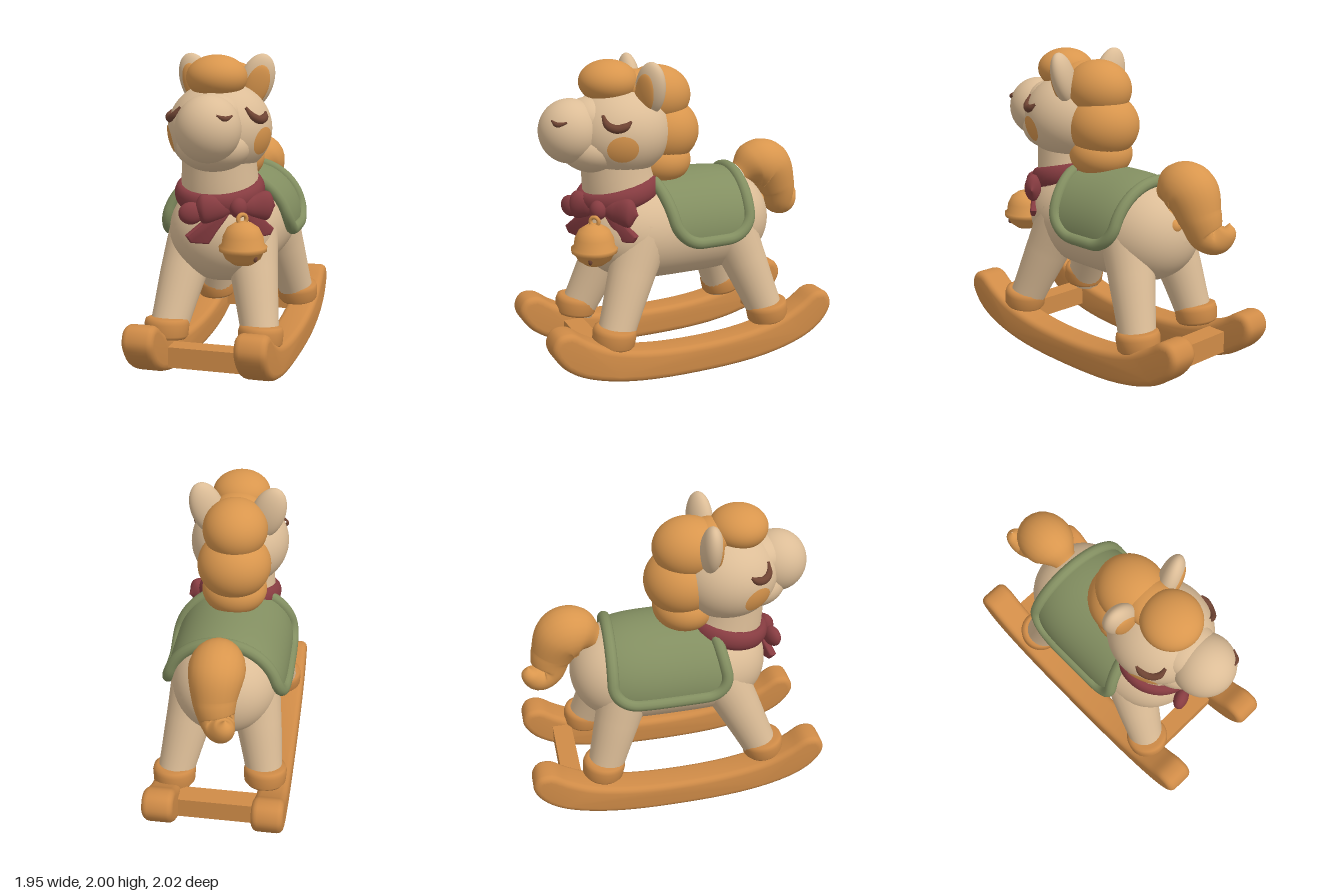
import * as THREE from 'three';
import { mergeVertices, toCreasedNormals } from 'three/addons/utils/BufferGeometryUtils.js';

const V = (x, y, z) => new THREE.Vector3(x, y, z);
const material = (name, color, extra = {}) => {
  const m = new THREE.MeshStandardMaterial({ color, ...extra });
  m.name = name;
  return m;
};

// Sweep with a radius given at each path point.
function taperTube(points, radii, segments = 32, sides = 24) {
  const path = new THREE.CatmullRomCurve3(points.map((p) => V(...p)));
  const radius = new THREE.SplineCurve(radii.map((r, i) => new THREE.Vector2(i, r)));
  const geo = new THREE.TubeGeometry(path, segments, 1, sides);
  const pos = geo.attributes.position;
  const v = V(0, 0, 0);
  for (let i = 0; i <= segments; i++) {
    const centre = path.getPointAt(i / segments);
    const r = Math.max(0.001, radius.getPoint(path.getUtoTmapping(i / segments)).y);
    for (let j = 0; j <= sides; j++) {
      const k = i * (sides + 1) + j;
      v.fromBufferAttribute(pos, k).sub(centre).multiplyScalar(r).add(centre);
      pos.setXYZ(k, v.x, v.y, v.z);
    }
  }
  geo.deleteAttribute('uv');
  geo.deleteAttribute('normal');
  const merged = mergeVertices(geo, 1e-5);
  merged.computeVertexNormals();
  return merged;
}

// Extruded outline with rounded edges, centred in depth.
function plate(points, depth, bevel, closedSpline) {
  let outline = points.map((p) => new THREE.Vector2(...p));
  if (closedSpline) {
    const curve = new THREE.CatmullRomCurve3(outline.map((p) => V(p.x, p.y, 0)), true);
    outline = curve.getPoints(100).slice(0, -1).map((p) => new THREE.Vector2(p.x, p.y));
  }
  const geo = new THREE.ExtrudeGeometry(new THREE.Shape(outline), {
    depth: depth - 2 * bevel, bevelThickness: bevel, bevelSize: bevel, bevelOffset: -bevel, bevelSegments: 4,
  });
  geo.translate(0, 0, -depth / 2 + bevel);
  return toCreasedNormals(geo, 0.7);
}

const BODY_Y = 0.905, BODY_FLAT = 0.955;
const bodyRadius = (z) => 0.355 * Math.sqrt(Math.max(0, 1 - Math.abs(z / 0.65) ** 3.8));

// Point on the saddle cloth; u runs over the back, v along it. The right flap is longer.
function clothPoint(u, v) {
  const corner = 0.16, fromEdge = (1 - Math.abs(u)) * 0.63;
  const cut = Math.max(0, corner - fromEdge);
  const half = 0.315 - 0.065 * u - corner + Math.sqrt(corner * corner - cut * cut);
  const z = -0.09 - 0.038 * u - v * half, a = u * 1.68;
  const r = bodyRadius(z) + 0.025 + 0.005 * u * u;
  return V(r * Math.sin(a), BODY_Y + BODY_FLAT * r * Math.cos(a), z);
}

// Point on the head, which is turned slightly left, from an azimuth in degrees and a height.
const HEAD = V(0, 1.55, 0.37), HEAD_R = V(0.32, 0.29, 0.33);
function headPoint(azimuth, y) {
  const a = THREE.MathUtils.degToRad(azimuth + 4);
  const h = (y - HEAD.y) / HEAD_R.y, c = Math.sqrt(1 - h * h);
  return [HEAD_R.x * c * Math.sin(a), y, HEAD.z + HEAD_R.z * c * Math.cos(a)];
}

export function createModel() {
  const cream = material('cream coat', 0xdcbd97);
  const orange = material('caramel hair', 0xd9964d);
  const wood = material('honey wood', 0xcf8b47);
  const green = material('olive cloth', 0x838f61, { side: THREE.DoubleSide });
  const red = material('wine ribbon', 0x873c41);
  const brown = material('dark brown', 0x6f4433);

  const model = new THREE.Group();
  model.name = 'rockingHorse';
  const horse = new THREE.Group();
  horse.name = 'horse';
  horse.rotation.y = -0.745;
  model.add(horse);

  const add = (name, geo, mat, pos = [0, 0, 0], parent = horse) => {
    const mesh = new THREE.Mesh(geo, mat);
    mesh.name = name;
    mesh.position.set(...pos);
    parent.add(mesh);
    return mesh;
  };
  const ball = (name, mat, pos, radii, parent = horse) =>
    add(name, new THREE.SphereGeometry(1, 40, 28).scale(...radii), mat, pos, parent);

  // Body, neck and head
  const profile = [];
  for (let i = 0; i <= 48; i++) {
    const z = 0.65 * Math.sin((i / 48 - 0.5) * Math.PI);
    profile.push(new THREE.Vector2(bodyRadius(z), z));
  }
  const body = new THREE.LatheGeometry(profile, 48).rotateX(Math.PI / 2).scale(1, BODY_FLAT, 1);
  add('body', body, cream, [0, BODY_Y, -0.01]);
  add('neck', taperTube([[0, 0.88, 0.26], [0, 1.15, 0.36], [0, 1.42, 0.4]], [0.3, 0.25, 0.225]), cream);
  ball('head', cream, HEAD.toArray(), HEAD_R.toArray());
  ball('muzzle', cream, [0.023, 1.58, 0.705], [0.195, 0.2, 0.195]);
  ball('noseBridge', cream, [0.01, 1.64, 0.56], [0.18, 0.14, 0.18]);
  ball('jaw', cream, [0.01, 1.46, 0.54], [0.225, 0.155, 0.22]);
  add('nostril', taperTube(
    [[0.115, 1.672, 0.848], [0.158, 1.652, 0.828], [0.188, 1.665, 0.775]], [0.006, 0.016, 0.006], 16, 10), brown);

  // Mane and forelock
  ball('forelock', orange, [0, 1.865, 0.44], [0.185, 0.135, 0.185]);
  ball('maneCrown', orange, [0, 1.83, 0.27], [0.15, 0.1, 0.15]);
  ball('maneTop', orange, [0, 1.76, 0.12], [0.205, 0.19, 0.225]);
  ball('maneMiddle', orange, [0, 1.53, 0.08], [0.235, 0.215, 0.24]);
  ball('maneBottom', orange, [0, 1.34, 0.1], [0.21, 0.16, 0.205]);

  // Tail
  add('tail', taperTube(
    [[0, 1.18, -0.49], [0, 1.23, -0.59], [0, 1.22, -0.69], [0, 1.08, -0.77], [-0.02, 0.97, -0.81], [-0.05, 0.95, -0.87], [-0.08, 1.01, -0.925], [-0.085, 1.06, -0.93]],
    [0.08, 0.155, 0.17, 0.135, 0.108, 0.09, 0.055, 0.002], 64), orange);
  ball('tailBase', orange, [0.05, 1, -0.605], [0.05, 0.05, 0.05]);

  for (const side of [1, -1]) {
    const label = side > 0 ? 'left' : 'right';

    // Ears
    const ear = new THREE.Group();
    ear.name = label + 'Ear';
    ear.position.set(side * 0.195, 1.83, side > 0 ? 0.24 : 0.22);
    ear.rotation.set(0, side > 0 ? 0.45 : -0.1, -side * 0.34, 'ZYX');
    horse.add(ear);
    ball('earShell', cream, [0, 0, 0], [0.108, 0.178, 0.07], ear);
    ball('innerEar', orange, [0, -0.015, 0.045], [0.075, 0.135, 0.032], ear);

    // Closed eye and cheek
    const lid = [[45, 1.695], [52, 1.642], [62, 1.62], [72, 1.632], [79, 1.66]].map(([a, y]) => headPoint(side * a, y));
    add(label + 'Eye', taperTube(lid, [0.01, 0.023, 0.026, 0.024, 0.008], 24, 10), brown);
    const cheek = new THREE.SphereGeometry(1.012, 32, 10, 0, Math.PI * 2, 0, 0.295);
    const outward = V(...headPoint(side * 69, 1.49)).sub(HEAD).divide(HEAD_R).normalize();
    cheek.applyQuaternion(new THREE.Quaternion().setFromUnitVectors(V(0, 1, 0), outward));
    add(label + 'Cheek', cheek.scale(...HEAD_R.toArray()), orange, HEAD.toArray());

    // Legs and hooves; the right pair stands slightly further forward
    for (const [end, z, top] of [['Front', side > 0 ? 0.545 : 0.59, 0.27], ['Back', side > 0 ? -0.555 : -0.505, -0.3]]) {
      const knee = top + (z - top) * 0.42;
      const x = side > 0 ? 0.305 : -0.285;
      add(label + end + 'Leg', taperTube(
        [[side * 0.16, 0.95, top], [side * 0.22, 0.68, knee], [x, 0.28, z]], [0.18, 0.15, 0.116]), cream);
      const hoof = [[0, -0.07], [0.12, -0.07], [0.135, -0.05], [0.14, 0.02], [0.132, 0.05], [0.11, 0.06], [0, 0.06]];
      const mesh = add(label + end + 'Hoof',
        new THREE.LatheGeometry(hoof.map((p) => new THREE.Vector2(...p)), 36), wood, [x, side > 0 ? 0.31 : 0.33, z]);
      mesh.rotation.x = -Math.sign(z) * 0.15;
    }

    // Rockers
    const half = [[0.35, 0.215], [0.6, 0.27], [0.75, 0.345], [0.86, 0.415], [0.945, 0.405], [0.985, 0.32], [0.93, 0.21], [0.8, 0.115], [0.5, 0.03]];
    const outline = [[0, 0.195], ...half, [0, 0], ...half.slice().reverse().map(([x, y]) => [-x, y])];
    add(label + 'Rocker', plate(outline, 0.2, 0.04, true).rotateY(-Math.PI / 2), wood, [side * 0.343, 0, 0]);
  }

  // Crossbars
  add('frontCrossbar', new THREE.BoxGeometry(0.56, 0.13, 0.13), wood, [0, 0.165, 0.63]);
  add('backCrossbar', new THREE.BoxGeometry(0.56, 0.14, 0.13), wood, [0, 0.205, -0.72]);

  // Saddle cloth with a rolled edge
  const cloth = new THREE.PlaneGeometry(2, 2, 64, 24);
  const cp = cloth.attributes.position;
  for (let i = 0; i < cp.count; i++) {
    const p = clothPoint(Math.sin(cp.getX(i) * Math.PI / 2), cp.getY(i));
    cp.setXYZ(i, p.x, p.y, p.z);
  }
  cloth.computeVertexNormals();
  add('saddleCloth', cloth, green);
  const rim = [];
  for (let i = 0; i < 48; i++) rim.push(clothPoint(Math.sin((i / 24 - 1) * Math.PI / 2), 1));
  for (let i = 0; i < 10; i++) rim.push(clothPoint(1, 1 - i / 5));
  for (let i = 0; i < 48; i++) rim.push(clothPoint(Math.sin((1 - i / 24) * Math.PI / 2), -1));
  for (let i = 0; i < 10; i++) rim.push(clothPoint(-1, i / 5 - 1));
  add('clothEdge', new THREE.TubeGeometry(new THREE.CatmullRomCurve3(rim, true), 180, 0.038, 12, true), green);

  // Neck ribbon
  const ribbon = new THREE.TorusGeometry(0.235, 0.045, 16, 56).scale(1, 1, 1.5).rotateX(Math.PI / 2 + 0.25);
  add('neckRibbon', ribbon, red, [0, 1.17, 0.38]);

  // Bow, turned to the side of the chest, its far half wrapped back around it
  const bow = new THREE.Group();
  bow.name = 'bow';
  bow.position.set(-0.27, 1.1, 0.53);
  model.add(bow);
  ball('bowKnot', red, [0, 0, 0.02], [0.055, 0.062, 0.05], bow);
  for (const side of [1, -1]) {
    const wing = new THREE.Group();
    wing.name = side > 0 ? 'nearBowHalf' : 'farBowHalf';
    wing.rotation.y = side > 0 ? 0 : -0.33;
    bow.add(wing);
    add('bowLoop', taperTube(
      [[side * 0.02, 0, 0], [side * 0.1, -0.005, 0], [side * 0.21, -0.005, 0], [side * 0.265, -0.01, 0]],
      [0.03, 0.065, 0.088, 0.002]).scale(1, 1, 0.6), red, [0, 0, 0], wing);
    const tail = [[0.02, -0.01], [0.1, -0.01], [0.255, -0.15], [0.23, -0.19], [0.14, -0.2]];
    const points = side > 0 ? tail : tail.map(([x, y]) => [-x * 1.22, y * 1.1]).reverse();
    add('bowTail', plate(points, 0.055, 0.018, false), red, [0, 0, -0.01], wing);
    if (side < 0) ball('outerFold', red, [-0.275, -0.03, -0.01], [0.075, 0.068, 0.045], wing);
  }

  // Bell
  const bell = [[0, -0.14], [0.06, -0.13], [0.105, -0.097], [0.126, -0.055], [0.143, -0.048], [0.145, -0.022], [0.128, -0.01], [0.121, 0.04], [0.095, 0.09], [0.05, 0.12], [0, 0.128]];
  add('bell', new THREE.LatheGeometry(bell.map((p) => new THREE.Vector2(...p)), 40), orange, [-0.27, 0.9, 0.61], model);
  add('bellRing', new THREE.TorusGeometry(0.028, 0.013, 10, 24), orange, [-0.27, 1.04, 0.6], model);
  ball('bellSlot', brown, [-0.245, 0.82, 0.717], [0.013, 0.022, 0.013], model);

  return model;
}
